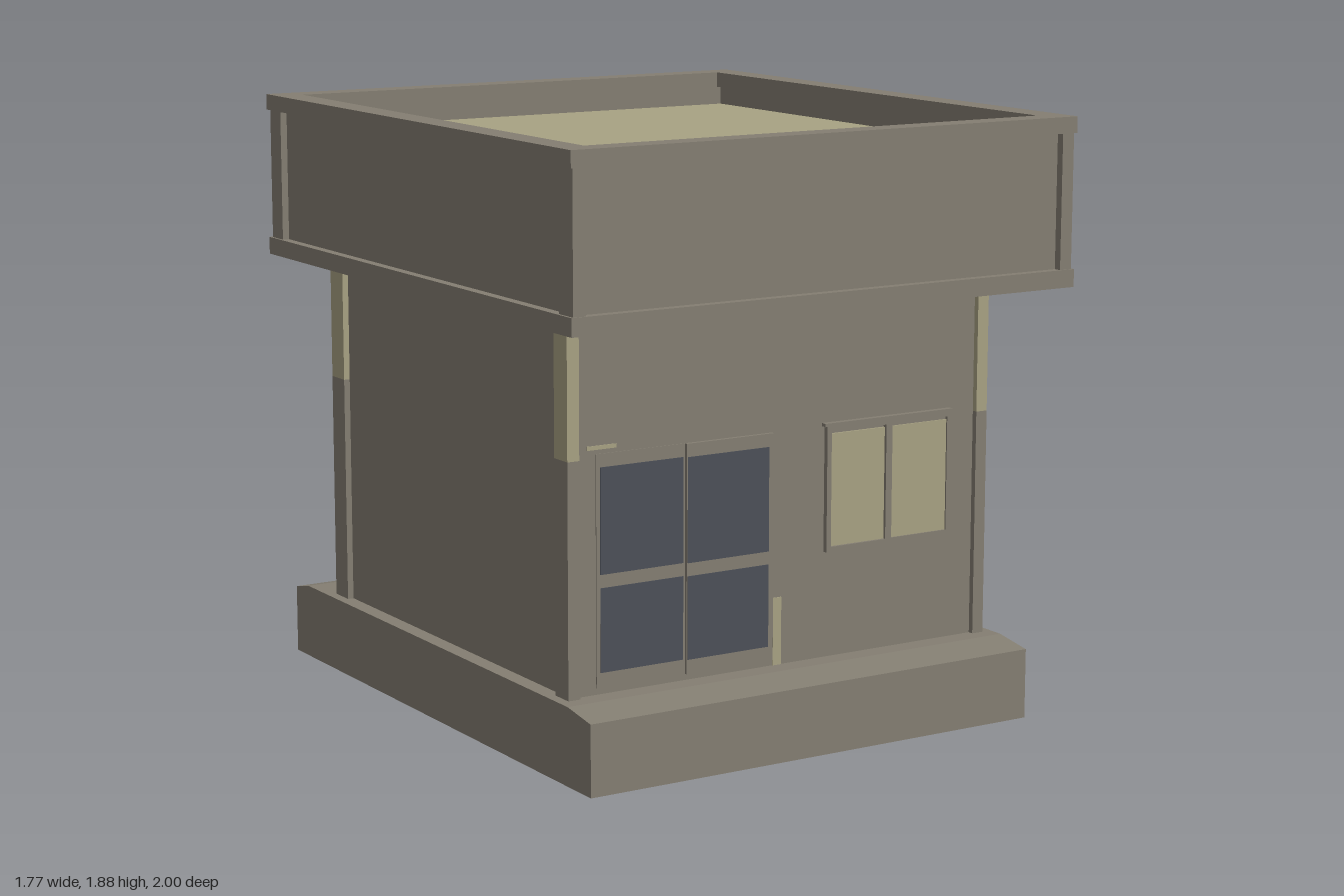
import * as THREE from 'three';

const mat = (name, color) => {
  const m = new THREE.MeshStandardMaterial({ color });
  m.name = name;
  return m;
};

export function createModel() {
  const model = new THREE.Group();
  model.name = 'smallBuilding';
  const stone = mat('stone grey', 0x847e72);
  const cream = mat('cream', 0xa8a283);
  const glass = mat('dark glass', 0x4c5058);
  const dark = mat('dark metal', 0x4a463c);

  const add = (parent, name, geo, material) => {
    const mesh = new THREE.Mesh(geo, material);
    mesh.name = name;
    parent.add(mesh);
    return mesh;
  };
  const group = (name) => {
    const g = new THREE.Group();
    g.name = name;
    model.add(g);
    return g;
  };
  // box given by its limits on each axis
  const box = (parent, name, material, x0, x1, y0, y1, z0, z1) => {
    const geo = new THREE.BoxGeometry(x1 - x0, y1 - y0, z1 - z0);
    geo.translate((x0 + x1) / 2, (y0 + y1) / 2, (z0 + z1) / 2);
    return add(parent, name, geo, material);
  };
  // profile of [z, y] points stretched along x
  const prism = (parent, name, material, pts, x0, x1) => {
    const shape = new THREE.Shape(pts.map(([z, y]) => new THREE.Vector2(-z, y)));
    const geo = new THREE.ExtrudeGeometry(shape, { depth: x1 - x0, bevelEnabled: false });
    geo.rotateY(Math.PI / 2).translate(x0, 0, 0);
    // rotateY maps shape x to -z, so the profile keeps its z values
    return add(parent, name, geo, material);
  };
  // horizontal rectangular ring between y0 and y1
  const ring = (parent, name, material, o, i, y0, y1) => {
    const rect = (P, [x, zb, zf]) => new P([
      new THREE.Vector2(-x, -zf), new THREE.Vector2(x, -zf),
      new THREE.Vector2(x, -zb), new THREE.Vector2(-x, -zb)]);
    const shape = rect(THREE.Shape, o);
    shape.holes.push(rect(THREE.Path, i));
    const geo = new THREE.ExtrudeGeometry(shape, { depth: y1 - y0, bevelEnabled: false });
    geo.rotateX(-Math.PI / 2).translate(0, y0, 0);
    return add(parent, name, geo, material);
  };
  // rectangular frame in the xy plane
  const frame = (parent, name, x0, x1, y0, y1, w, z0, z1) => {
    box(parent, name + 'Left', stone, x0, x0 + w, y0, y1, z0, z1);
    box(parent, name + 'Right', stone, x1 - w, x1, y0, y1, z0, z1);
    box(parent, name + 'Bottom', stone, x0 + w, x1 - w, y0, y0 + w, z0, z1);
    box(parent, name + 'Top', stone, x0 + w, x1 - w, y1 - w, y1, z0, z1);
  };

  // Plinth with sloping front and back edges
  prism(model, 'plinth', stone,
    [[0.93, 0], [0.93, 0.22], [0.8, 0.24], [-0.91, 0.24], [-1, 0.22], [-1, 0]], -0.787, 0.787);

  // Walls and corner pillars, bare cream near the top
  box(model, 'walls', stone, -0.735, 0.735, 0.24, 1.43, -0.745, 0.732);
  const pillars = group('cornerPillars');
  for (const s of [-1, 1]) {
    for (const [z0, z1, split] of [[0.675, 0.75, 0.95], [-0.765, -0.68, 0.97]]) {
      const x0 = s < 0 ? -0.755 : 0.715;
      box(pillars, 'pillarLower', stone, x0, x0 + 0.04, 0.24, split, z0, z1);
      box(pillars, 'pillarUpper', cream, x0, x0 + 0.04, split, 1.43, z0, z1);
    }
  }

  // Parapet: two bands, recessed panels, corner posts
  const parapet = group('parapet');
  const outer = [0.885, -0.945, 1], inner = [0.795, -0.86, 0.918];
  ring(parapet, 'lowerBand', stone, outer, inner, 1.36, 1.415);
  ring(parapet, 'upperBand', stone, outer, inner, 1.83, 1.88);
  ring(parapet, 'panels', stone, [0.855, -0.915, 0.97], [0.825, -0.885, 0.94], 1.415, 1.83);
  for (const s of [-1, 1]) {
    for (const [z0, z1] of [[0.918, 0.995], [-0.935, -0.86]]) {
      const x0 = s < 0 ? -0.877 : 0.835;
      box(parapet, 'cornerPost', stone, x0, x0 + 0.042, 1.415, 1.83, z0, z1);
    }
  }
  box(model, 'roofSlab', stone, -0.825, 0.825, 1.42, 1.76, -0.885, 0.94);
  box(model, 'roofSurface', cream, -0.825, 0.825, 1.76, 1.768, -0.885, 0.94);

  // Front sliding glass door, right leaf standing slightly forward
  const slider = group('slidingDoor');
  box(slider, 'leafLeft', stone, -0.65, -0.345, 0.26, 0.96, 0.73, 0.735);
  box(slider, 'leafRight', stone, -0.345, -0.037, 0.26, 0.96, 0.73, 0.745);
  for (const [x0, x1, z] of [[-0.637, -0.352, 0.735], [-0.342, -0.055, 0.745]]) {
    for (const [y0, y1] of [[0.305, 0.56], [0.6, 0.92]]) {
      box(slider, 'glassPane', glass, x0, x1, y0, y1, z - 0.004, z + 0.002);
    }
  }

  // Front window with cream panes
  const win = group('frontWindow');
  frame(win, 'sash', 0.155, 0.39, 0.57, 0.96, 0.016, 0.73, 0.748);
  frame(win, 'fixedSash', 0.385, 0.625, 0.57, 0.96, 0.016, 0.73, 0.742);
  box(win, 'lintel', stone, 0.145, 0.622, 0.96, 0.97, 0.73, 0.752);
  box(win, 'paneLeft', cream, 0.171, 0.385, 0.585, 0.935, 0.731, 0.739);
  box(win, 'paneRight', cream, 0.4, 0.61, 0.585, 0.935, 0.731, 0.737);

  // Worn patches on the front wall
  box(model, 'wornPatchLow', cream, -0.03, 0, 0.24, 0.45, 0.73, 0.735);
  box(model, 'wornPatchHigh', cream, -0.68, -0.58, 0.973, 0.985, 0.73, 0.735);

  // Back window
  const backWin = group('backWindow');
  frame(backWin, 'backFrame', 0.05, 0.56, 0.57, 0.97, 0.025, -0.775, -0.744);
  box(backWin, 'backPane', stone, 0.075, 0.535, 0.595, 0.945, -0.752, -0.744);

  // Back door with knob
  const door = group('backDoor');
  frame(door, 'doorFrame', -0.6, -0.21, 0.24, 0.97, 0.03, -0.768, -0.744);
  box(door, 'doorLeaf', cream, -0.57, -0.24, 0.27, 0.94, -0.753, -0.744);
  const knob = add(door, 'doorKnob', new THREE.SphereGeometry(0.013, 12, 8), dark);
  knob.position.set(-0.265, 0.59, -0.764);

  // Sloping awnings over the back window and door
  for (const [x0, x1] of [[0.0, 0.61], [-0.69, -0.09]]) {
    const awning = group('awning');
    prism(awning, 'awningPlate', stone,
      [[-0.744, 1.055], [-0.744, 1.03], [-0.862, 1.01], [-0.862, 1.035]], x0, x1);
    for (const x of [x0 + 0.03, x1 - 0.055]) {
      prism(awning, 'awningBracket', stone,
        [[-0.744, 1.032], [-0.744, 0.97], [-0.775, 0.97], [-0.845, 0.995], [-0.845, 1.014]], x, x + 0.025);
    }
  }
  return model;
}
